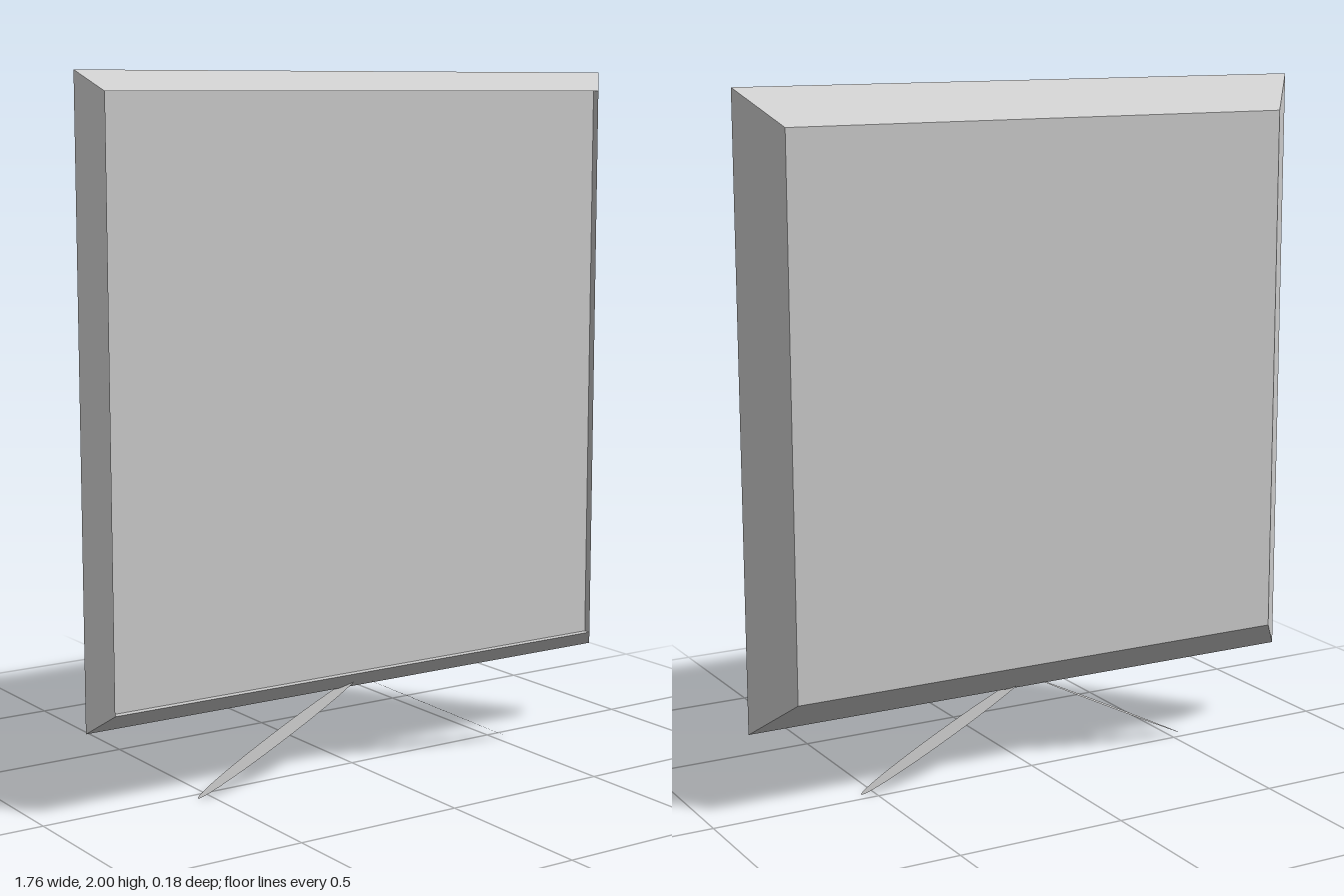
import * as THREE from 'three';

const material = new THREE.MeshStandardMaterial({ color: 0xcccccc, flatShading: true, side: THREE.DoubleSide });

// Closed solid from rectangular rings, ordered from back to front
function loft(rings) {
  const corners = rings.map(({ x, y0, y1, z }) => [[-x, y0, z], [x, y0, z], [x, y1, z], [-x, y1, z]]);
  const pos = [];
  const quad = (a, b, c, d) => pos.push(...a, ...b, ...c, ...a, ...c, ...d);
  for (let i = 0; i < corners.length - 1; i++) {
    for (let j = 0; j < 4; j++) {
      const k = (j + 1) % 4;
      quad(corners[i][j], corners[i][k], corners[i + 1][k], corners[i + 1][j]);
    }
  }
  const [a, b, c, d] = corners[0];
  quad(d, c, b, a);
  quad(...corners[corners.length - 1]);
  const geometry = new THREE.BufferGeometry();
  geometry.setAttribute('position', new THREE.Float32BufferAttribute(pos, 3));
  geometry.computeVertexNormals();
  return geometry;
}

export function createModel() {
  const model = new THREE.Group();
  model.name = 'flatScreen';

  // Bevelled housing with a slightly sunken screen
  const housing = new THREE.Mesh(loft([
    { x: 0.78, y0: 0.34, y1: 1.9, z: -0.09 },
    { x: 0.88, y0: 0.24, y1: 2.0, z: 0.025 },
    { x: 0.825, y0: 0.295, y1: 1.945, z: 0.09 },
    { x: 0.825, y0: 0.295, y1: 1.945, z: 0.068 },
  ]), material);
  housing.name = 'screenHousing';
  model.add(housing);

  // Two thin oval feet splayed outwards from the bottom centre
  const reach = 0.54, rise = 0.27;
  for (const side of [1, -1]) {
    const geometry = new THREE.CircleGeometry(1, 48)
      .rotateX(-Math.PI / 2)
      .scale(Math.hypot(reach, rise) / 2, 1, 0.033)
      .rotateZ(-side * Math.atan2(rise, reach));
    const foot = new THREE.Mesh(geometry, material);
    foot.name = side > 0 ? 'leftFoot' : 'rightFoot';
    foot.position.set(side * reach / 2, rise / 2, 0.032);
    model.add(foot);
  }
  return model;
}
